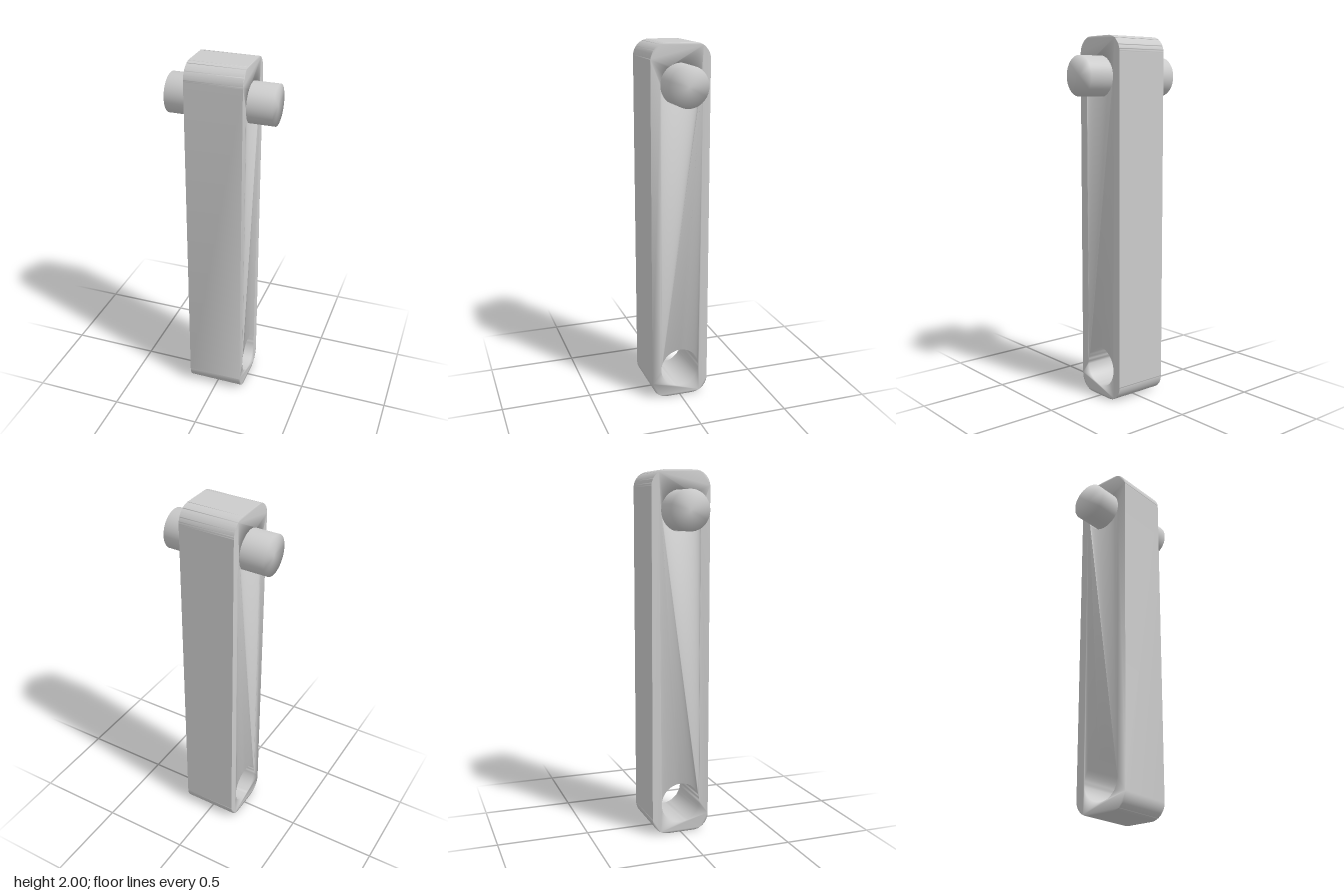
import * as THREE from 'three';
import { mergeVertices } from 'three/addons/utils/BufferGeometryUtils.js';

const HALF_WIDTH = 0.165, HEIGHT = 2, CORNER = 0.09, THICKNESS = 0.312;
const HOLE = 0.112, LOW = 0.17, HIGH = 1.786;

const mat = new THREE.MeshStandardMaterial({ color: 0xcccccc });

// weld the corners so the shading runs smoothly over every edge
function smooth(geometry) {
  geometry.deleteAttribute('normal');
  geometry.deleteAttribute('uv');
  const welded = mergeVertices(geometry, 1e-4);
  welded.computeVertexNormals();
  return welded;
}

// upright bar with rounded ends and a round hole near each end
function barShape() {
  const s = new THREE.Shape();
  const a = HALF_WIDTH - CORNER, top = HEIGHT - CORNER;
  s.absarc(a, top, CORNER, 0, Math.PI / 2);
  s.absarc(-a, top, CORNER, Math.PI / 2, Math.PI);
  s.absarc(-a, CORNER, CORNER, Math.PI, Math.PI * 1.5);
  s.absarc(a, CORNER, CORNER, Math.PI * 1.5, Math.PI * 2);
  for (const y of [LOW, HIGH]) {
    s.holes.push(new THREE.Path().absarc(0, y, HOLE, 0, Math.PI * 2, true));
  }
  return s;
}

export function createModel() {
  const model = new THREE.Group();
  model.name = 'chainLink';

  // link body, its flat faces turned to the sides
  const bar = new THREE.ExtrudeGeometry(barShape(), {
    depth: THICKNESS, bevelEnabled: false, curveSegments: 24,
  });
  bar.translate(0, 0, -THICKNESS / 2);
  bar.rotateY(Math.PI / 2);
  const body = new THREE.Mesh(smooth(bar), mat);
  body.name = 'linkBody';
  body.position.x = -0.002;
  model.add(body);

  // pin through the upper hole
  const pin = new THREE.Mesh(smooth(new THREE.CylinderGeometry(0.108, 0.108, 0.58, 64)), mat);
  pin.name = 'pin';
  pin.rotation.z = Math.PI / 2;
  pin.position.set(0, HIGH + 0.002, 0.003);
  model.add(pin);

  return model;
}
